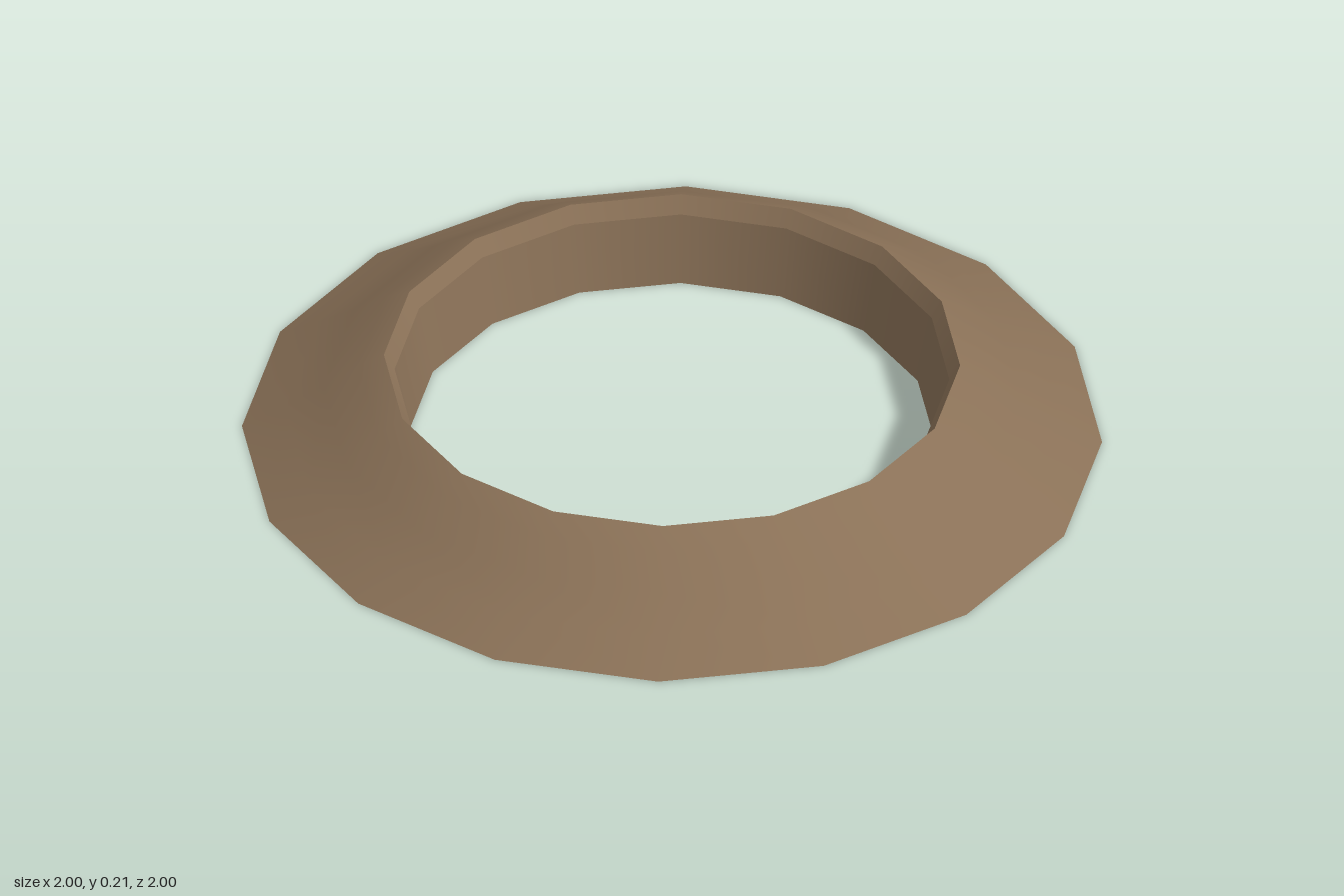
import * as THREE from 'three';

const SIDES = 16;

export function createModel() {
  const group = new THREE.Group();
  group.name = 'ring';

  const brown = new THREE.MeshStandardMaterial({ color: 0x8a7157, side: THREE.DoubleSide });
  brown.name = 'earth brown';

  // Revolves a profile of [radius, height] points; separate bands keep their shared edges sharp
  const addBand = (name, profile) => {
    const points = profile.map(([r, y]) => new THREE.Vector2(r, y));
    const mesh = new THREE.Mesh(new THREE.LatheGeometry(points, SIDES), brown);
    mesh.name = name;
    group.add(mesh);
  };

  // Gently curved outer slope, open underneath
  addBand('outerSlope', [[1, 0], [0.9, 0.058], [0.81, 0.118], [0.73, 0.178], [0.67, 0.21]]);
  // Narrow bevel inside the top rim
  addBand('rimBevel', [[0.67, 0.21], [0.645, 0.17]]);
  // Wall of the hole, tapering down to the ground
  addBand('innerWall', [[0.645, 0.17], [0.61, 0]]);

  return group;
}
